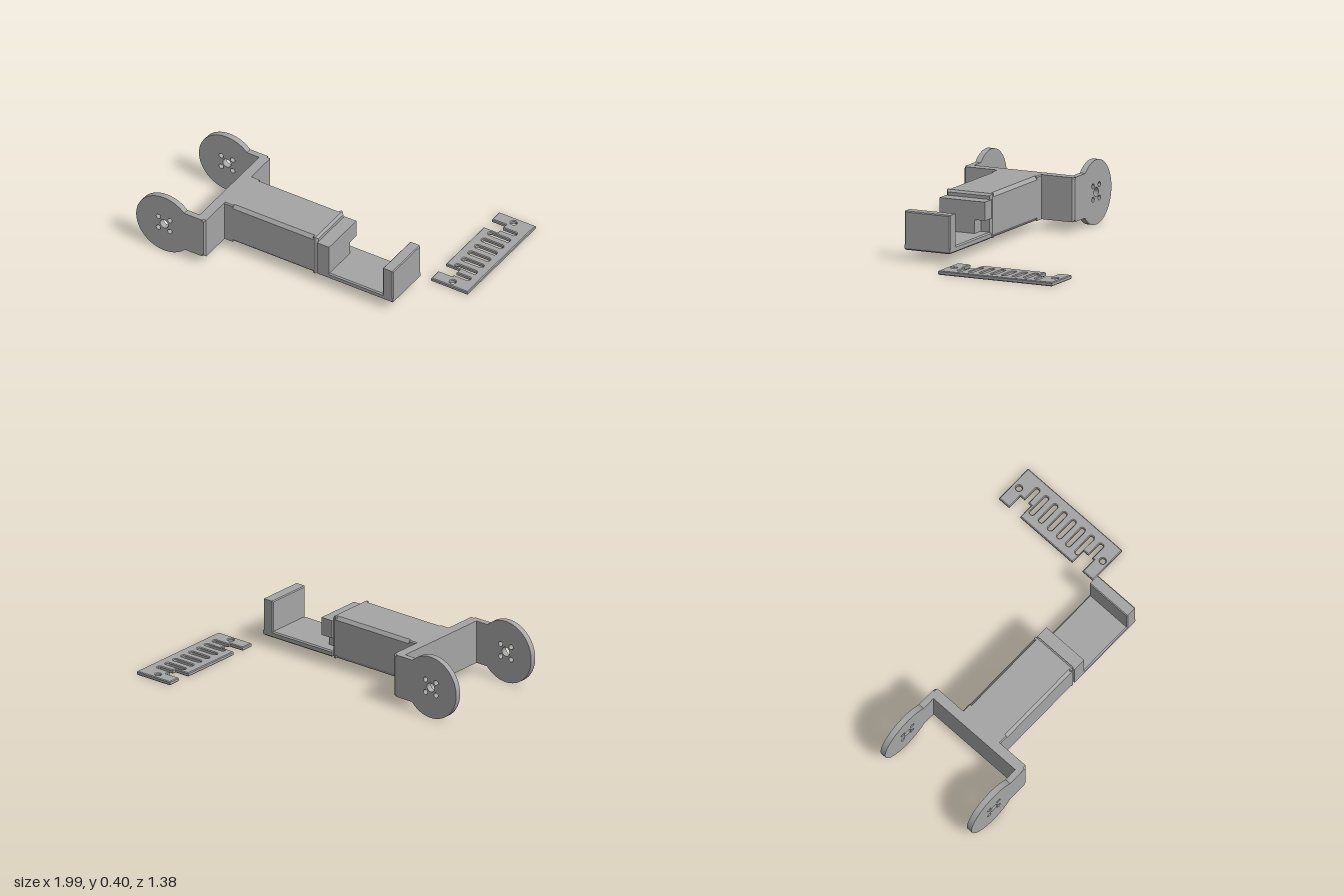
import * as THREE from 'three';

const grey = new THREE.MeshStandardMaterial({ color: 0xa6a6a6 });
grey.name = 'grey plastic';

const BODY_Z = 0.31; // centre line of the arm

function polygon(points) {
  return new THREE.Shape(points.map(([x, y]) => new THREE.Vector2(x, y)));
}

function addHole(shape, x, y, r) {
  const hole = new THREE.Path();
  hole.absarc(x, y, r, 0, Math.PI * 2, true);
  shape.holes.push(hole);
}

// Extrudes from z = 0 to z = depth, with a chamfer that stays inside the outline
function slab(shape, depth, bevel = 0) {
  const g = new THREE.ExtrudeGeometry(shape, {
    depth: depth - 2 * bevel, bevelEnabled: bevel > 0, bevelSize: bevel,
    bevelThickness: bevel, bevelOffset: -bevel, bevelSegments: 1, curveSegments: 28,
  });
  return g.translate(0, 0, bevel);
}

function rect(x0, x1, y0, y1) {
  return polygon([[x0, y0], [x1, y0], [x1, y1], [x0, y1]]);
}

function box(x0, x1, y0, y1, z0, z1, bevel = 0) {
  return slab(rect(x0, x1, y0, y1), z1 - z0, bevel).translate(0, 0, z0);
}

// Extrudes a (-z, y) section along x
function alongX(shape, x0, x1, bevel = 0) {
  return slab(shape, x1 - x0, bevel).rotateY(Math.PI / 2).translate(x0, 0, BODY_Z);
}

// Extrudes an (x, -z) outline upwards
function flat(shape, y0, y1, bevel = 0) {
  return slab(shape, y1 - y0, bevel).rotateX(-Math.PI / 2).translate(0, y0, 0);
}

function makeFork(add) {
  // Round joint cheek running straight into its arm
  const cx = -0.8, cy = 0.2, r = 0.2;
  const cheek = new THREE.Shape();
  cheek.moveTo(-0.53, 0.065);
  cheek.lineTo(-0.53, 0.34);
  cheek.absarc(cx, cy, r, Math.asin(0.14 / r), 2 * Math.PI - Math.asin(0.135 / r), false);
  cheek.closePath();
  addHole(cheek, cx, cy, 0.029);
  for (const sx of [-1, 1]) for (const sy of [-1, 1]) addHole(cheek, cx + sx * 0.041, cy + sy * 0.041, 0.016);
  add('rightForkCheek', slab(cheek, 0.038).translate(0, 0, -0.065));
  add('leftForkCheek', slab(cheek, 0.038).translate(0, 0, 0.647));
  add('forkCrossPlate', box(-0.57, -0.507, 0.065, 0.34, -0.065, 0.685, 0.012));
}

function makeBody(add) {
  // Hollow chamfered channel, open underneath
  const shell = polygon([
    [-0.14, 0.065], [-0.155, 0.087], [-0.155, 0.318], [-0.137, 0.34],
    [0.137, 0.34], [0.155, 0.318], [0.155, 0.087], [0.14, 0.065],
    [0.128, 0.065], [0.128, 0.312], [-0.128, 0.312], [-0.128, 0.065],
  ]);
  add('armBody', alongX(shell, -0.46, 0.14));
  // Full-section collar beside the fork
  const collar = polygon([
    [-0.155, 0.065], [-0.155, 0.333], [-0.148, 0.34], [0.148, 0.34], [0.155, 0.333], [0.155, 0.065],
    [0.128, 0.065], [0.128, 0.312], [-0.128, 0.312], [-0.128, 0.065],
  ]);
  add('armCollar', alongX(collar, -0.515, -0.448));
  // End wall with chamfered rim
  add('armEndWall', alongX(rect(-0.155, 0.155, 0.065, 0.34), 0.115, 0.155, 0.014));
  // Screw tab for the cover
  const tab = rect(-0.515, -0.44, -0.44, -0.18);
  addHole(tab, -0.475, -BODY_Z, 0.016);
  add('coverScrewTab', flat(tab, 0.07, 0.105));
}

function makeHolder(add) {
  const floor = rect(0.155, 0.697, -0.465, -0.155);
  addHole(floor, 0.185, -BODY_Z, 0.016);
  add('holderFloor', flat(floor, 0.065, 0.105, 0.008));
  // Inner wall with a cable notch on one side
  const wall = polygon([
    [-0.155, 0.08], [0.085, 0.08], [0.085, 0.19], [0.155, 0.19], [0.155, 0.305], [-0.155, 0.305],
  ]);
  add('holderInnerWall', alongX(wall, 0.155, 0.24));
  add('holderOuterWall', alongX(rect(-0.155, 0.155, 0.075, 0.305), 0.623, 0.697, 0.006));
}

function makeCover(add) {
  // Outline with two side notches, each opening into a slot
  const outline = [[0.73, -0.085], [0.99, -0.085], [0.99, 0.69], [0.73, 0.69]];
  for (const [top, mid, bottom] of [[0.605, 0.555, 0.515], [0.085, 0.03, 0]]) {
    outline.push([0.73, top], [0.83, top], [0.83, mid + 0.015], [0.927, mid + 0.015], [0.935, mid + 0.007],
      [0.935, mid - 0.007], [0.927, mid - 0.015], [0.83, mid - 0.015], [0.83, bottom], [0.73, bottom]);
  }
  const cover = polygon(outline);
  addHole(cover, 0.86, 0.645, 0.018);
  addHole(cover, 0.86, -0.045, 0.018);
  // Six vent slots
  for (let i = 0; i < 6; i++) {
    const y = 0.105 + i * 0.075;
    const slot = new THREE.Path();
    slot.absarc(0.8, y, 0.015, Math.PI * 1.5, Math.PI / 2, true);
    slot.absarc(0.92, y, 0.015, Math.PI / 2, -Math.PI / 2, true);
    slot.closePath();
    cover.holes.push(slot);
  }
  add('ventCover', flat(cover, 0, 0.025, 0.005));
}

export function createModel() {
  const model = new THREE.Group();
  model.name = 'robotArmSegment';
  const add = (name, geometry) => {
    const mesh = new THREE.Mesh(geometry, grey);
    mesh.name = name;
    model.add(mesh);
  };
  makeFork(add);
  makeBody(add);
  makeHolder(add);
  makeCover(add);
  return model;
}
